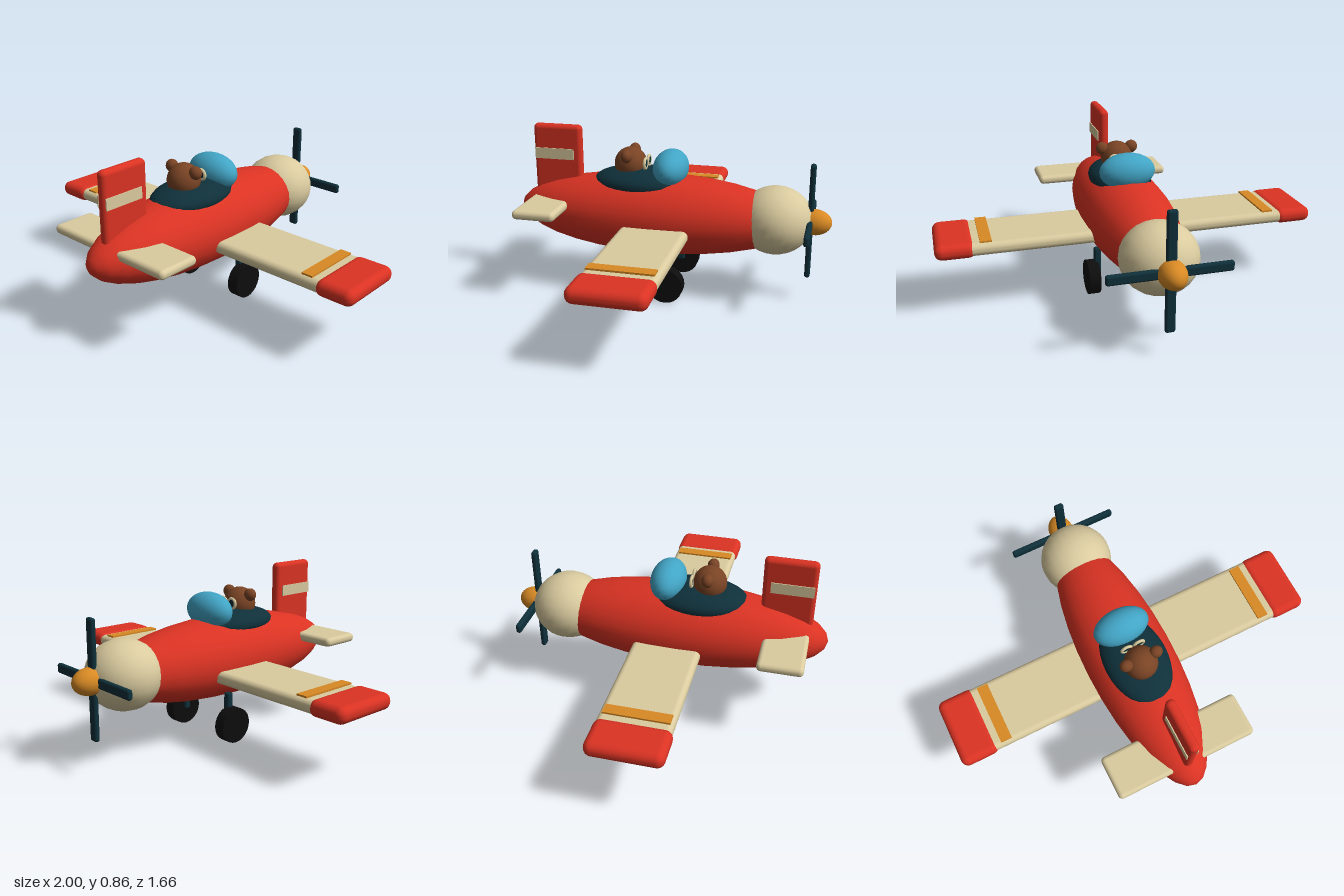
import * as THREE from 'three';
import { RoundedBoxGeometry } from 'three/addons/geometries/RoundedBoxGeometry.js';

const paint = (name, color) => {
  const material = new THREE.MeshStandardMaterial({ color });
  material.name = name;
  return material;
};

export function createModel() {
  const plane = new THREE.Group();
  plane.name = 'toyAeroplane';

  const red = paint('red', 0xdb3323);
  const cream = paint('cream', 0xdacb9f);
  const teal = paint('dark teal', 0x0f303a);
  const blue = paint('sky blue', 0x42a5c6);
  const orange = paint('orange', 0xd98a24);
  const brown = paint('brown', 0x7a4425);
  const black = paint('black', 0x0d0d0d);

  const add = (name, geometry, material, x, y, z) => {
    const mesh = new THREE.Mesh(geometry, material);
    mesh.name = name;
    mesh.position.set(x, y, z);
    plane.add(mesh);
    return mesh;
  };
  // Ellipsoid with its poles along z
  const ellipsoid = (name, material, [rx, ry, rz], [x, y, z]) =>
    add(name, new THREE.SphereGeometry(1, 24, 16).rotateX(Math.PI / 2).scale(rx, ry, rz), material, x, y, z);
  const roundBox = (name, material, [w, h, d], radius, [x, y, z]) =>
    add(name, new RoundedBoxGeometry(w, h, d, 3, radius), material, x, y, z);
  const plate = (name, material, [w, h, d], [x, y, z]) =>
    add(name, new THREE.BoxGeometry(w, h, d), material, x, y, z);

  // Body
  ellipsoid('fuselage', red, [0.232, 0.213, 0.747], [0, 0.411, 0.083]);
  ellipsoid('noseCowl', cream, [0.192, 0.176, 0.19], [0, 0.42, -0.55]);

  // Propeller
  ellipsoid('spinner', orange, [0.067, 0.067, 0.09], [0, 0.424, -0.742]);
  roundBox('uprightBlade', teal, [0.05, 0.6, 0.028], 0.012, [0, 0.424, -0.724]);
  roundBox('levelBlade', teal, [0.6, 0.05, 0.028], 0.012, [0, 0.424, -0.724]);

  // Cockpit and windscreen
  ellipsoid('cockpitRim', teal, [0.162, 0.078, 0.252], [0, 0.58, 0.16]);
  ellipsoid('windscreen', blue, [0.147, 0.095, 0.09], [0, 0.66, 0]);

  // Main wing and tailplane
  roundBox('wing', cream, [1.72, 0.066, 0.354], 0.03, [0, 0.364, 0.04]);
  roundBox('tailplane', cream, [0.75, 0.048, 0.225], 0.022, [0, 0.464, 0.625]);

  // Fin with a painted band on each face
  roundBox('fin', red, [0.052, 0.42, 0.265], 0.024, [0, 0.648, 0.612]);

  // Bear pilot
  ellipsoid('bearHead', brown, [0.085, 0.088, 0.085], [0, 0.67, 0.215]);

  for (const side of [-1, 1]) {
    roundBox('wingTip', red, [0.2, 0.081, 0.368], 0.038, [side * 0.9, 0.364, 0.042]);
    plate('wingStripe', orange, [0.058, 0.009, 0.317], [side * 0.75, 0.4015, 0.042]);
    plate('finBand', cream, [0.006, 0.058, 0.215], [side * 0.028, 0.702, 0.628]);

    // Landing gear
    roundBox('wheelStrut', teal, [0.034, 0.17, 0.036], 0.008, [side * 0.17, 0.172, -0.02]);
    const wheel = new THREE.CylinderGeometry(0.092, 0.092, 0.06, 24).rotateZ(Math.PI / 2);
    add('wheel', wheel, black, side * 0.2, 0.092, -0.02);

    // Ears and flying goggles
    ellipsoid('bearEar', brown, [0.034, 0.034, 0.03], [side * 0.08, 0.725, 0.215]);
    add('goggleRim', new THREE.TorusGeometry(0.026, 0.008, 8, 20), cream, side * 0.034, 0.682, 0.127);
    const lens = new THREE.CylinderGeometry(0.025, 0.025, 0.008, 20).rotateX(Math.PI / 2);
    add('goggleLens', lens, teal, side * 0.034, 0.682, 0.126);
  }

  return plane;
}
